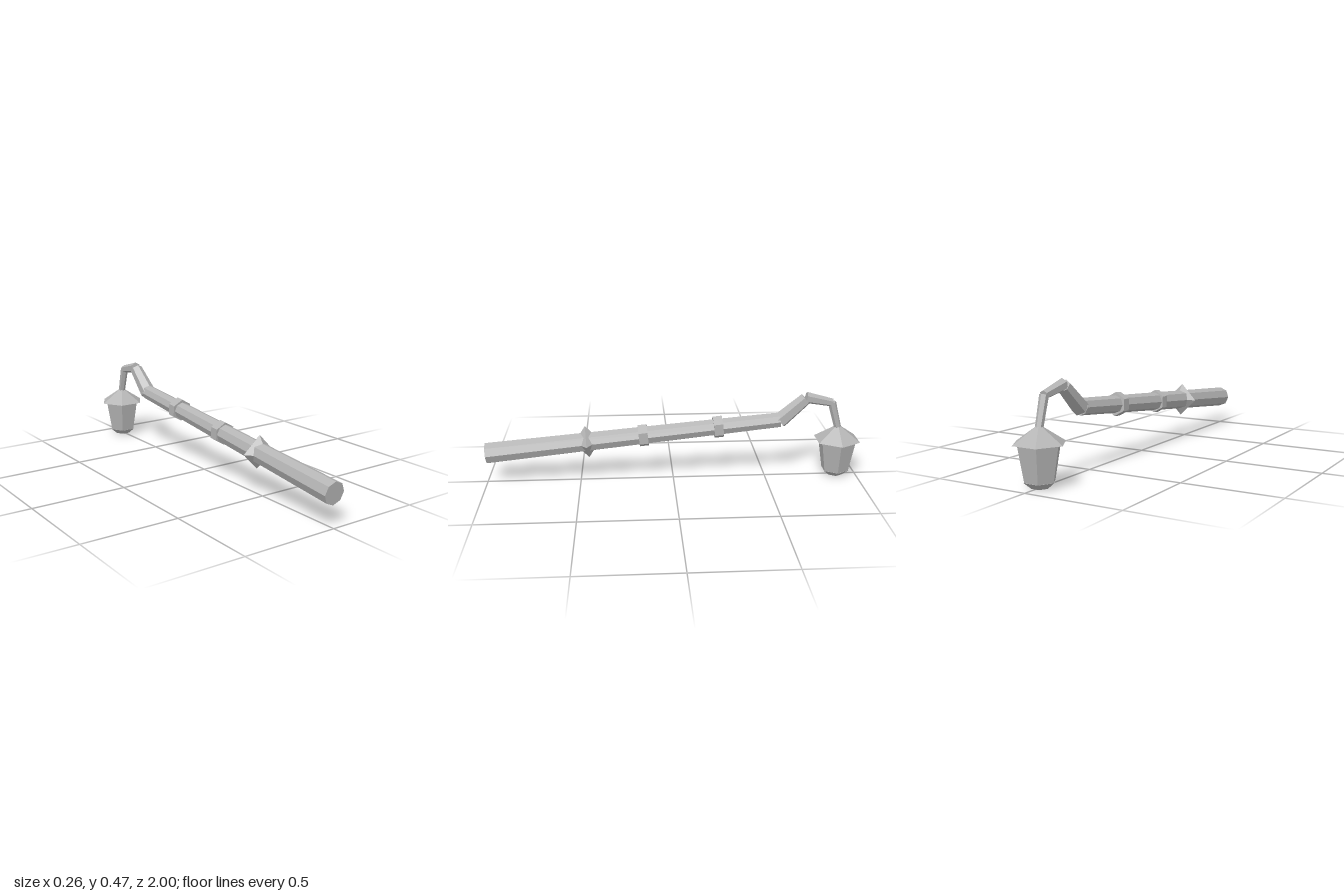
import * as THREE from 'three';

export function createModel() {
  const model = new THREE.Group();
  const grey = new THREE.MeshStandardMaterial({ color: 0xb4b4b4, flatShading: true });
  const up = new THREE.Vector3(0, 1, 0);

  // Faceted rod between two [y, z] points, with an edge running along its top
  function rod(name, a, b, rA, rB, sides) {
    const from = new THREE.Vector3(0, ...a), to = new THREE.Vector3(0, ...b);
    const dir = to.clone().sub(from);
    const mesh = new THREE.Mesh(new THREE.CylinderGeometry(rB, rA, dir.length(), sides), grey);
    mesh.name = name;
    mesh.position.copy(from).lerp(to, 0.5);
    mesh.quaternion.setFromUnitVectors(up, dir.normalize());
    model.add(mesh);
  }

  // Slightly tapered, sloping pole
  const start = [0.165, 0.995], end = [0.32, -0.57];
  const onPole = z => [start[0] + (end[0] - start[0]) * (start[1] - z) / (start[1] - end[1]), z];
  rod('pole', start, end, 0.058, 0.042, 8);

  // Two hexagonal collars
  for (const z of [0.16, -0.24]) rod('collar', onPole(z + 0.024), onPole(z - 0.024), 0.061, 0.061, 6);

  // Four-pointed spiked ring
  rod('spikeFront', onPole(0.53), onPole(0.46), 0, 0.09, 4);
  rod('spikeBack', onPole(0.46), onPole(0.39), 0.09, 0, 4);

  // Crooked neck
  rod('neckLower', [0.315, -0.57], [0.436, -0.705], 0.044, 0.035, 6);
  rod('neckUpper', [0.443, -0.708], [0.412, -0.85], 0.031, 0.022, 6);
  rod('neckDrop', [0.414, -0.848], [0.27, -0.889], 0.022, 0.019, 6);

  // Hexagonal lantern with corners pointing sideways
  const lantern = new THREE.Group();
  lantern.name = 'lantern';
  lantern.position.z = -0.89;
  for (const [name, y0, y1, r0, r1] of [
    ['lanternBase', 0, 0.03, 0.042, 0.078],
    ['lanternBody', 0.03, 0.203, 0.075, 0.105],
    ['lanternRoof', 0.202, 0.288, 0.128, 0],
  ]) {
    const part = new THREE.Mesh(
      new THREE.CylinderGeometry(r1, r0, y1 - y0, 6, 1, false, Math.PI / 2), grey);
    part.name = name;
    part.position.y = (y0 + y1) / 2;
    lantern.add(part);
  }
  model.add(lantern);
  return model;
}
